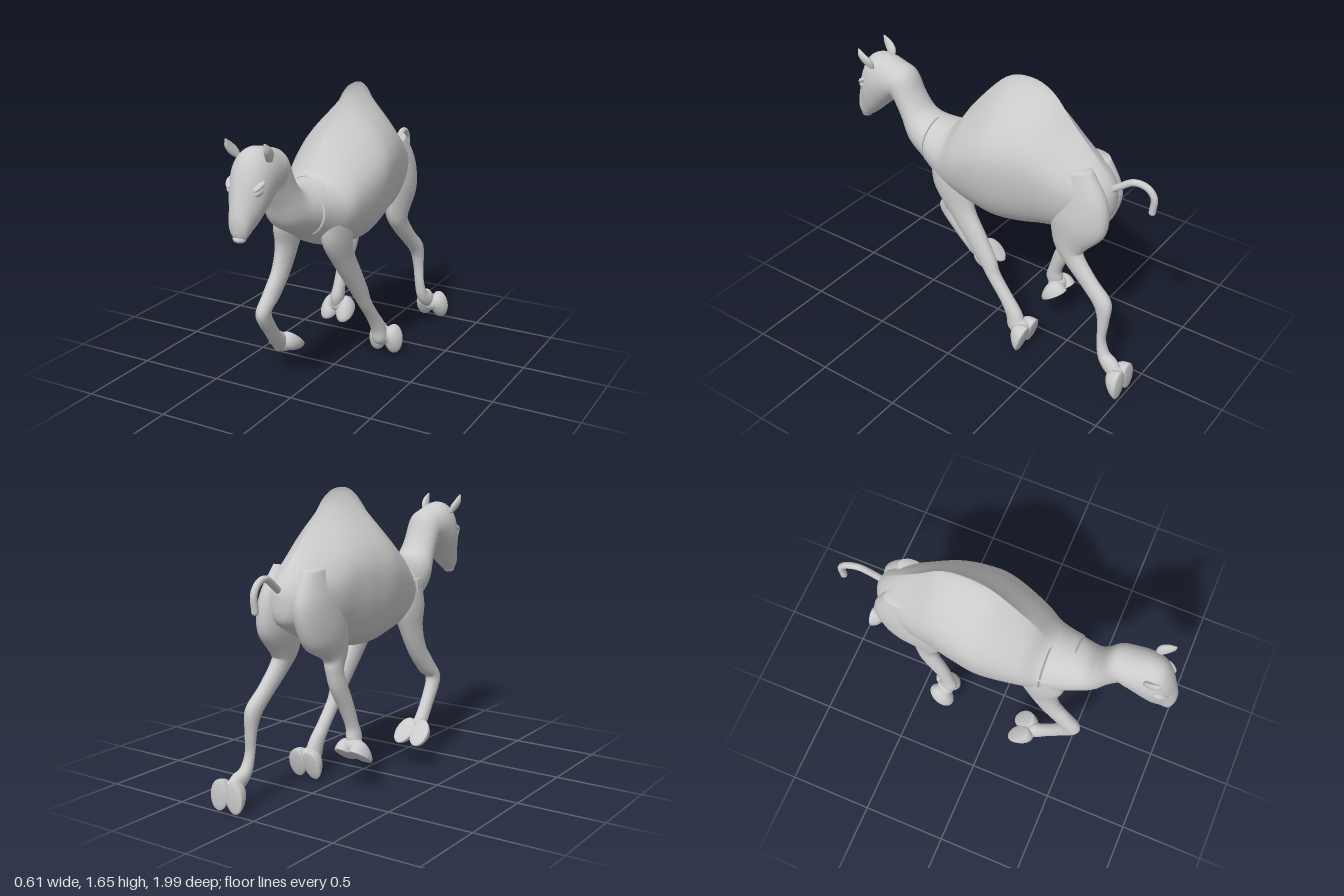
import * as THREE from 'three';

const material = new THREE.MeshStandardMaterial({ color: 0xcccccc });

function add(parent, name, geometry) {
  const mesh = new THREE.Mesh(geometry, material);
  mesh.name = name;
  parent.add(mesh);
  return mesh;
}

function ellipsoid(parent, name, size, position) {
  const mesh = add(parent, name, new THREE.SphereGeometry(1, 24, 16));
  mesh.scale.set(...size);
  mesh.position.set(...position);
  return mesh;
}

// Smooth interpolation between neighbouring cross-sections
function sectionAt(sections, t) {
  const last = sections.length - 1;
  const i = Math.min(Math.floor(t), last - 1), u = t - i;
  const [a, b, c, d] = [i - 1, i, i + 1, i + 2].map((k) => sections[Math.max(0, Math.min(last, k))]);
  return b.map((v, k) => 0.5 * (2 * v + (c[k] - a[k]) * u + (2 * a[k] - 5 * v + 4 * c[k] - d[k]) * u * u
    + (3 * v - a[k] - 3 * c[k] + d[k]) * u * u * u));
}

// Skin over cross-sections: [edge A z, y, edge B z, y, centre x, half width, taper towards A]
function loft(sections, steps = 6, sides = 32) {
  const rows = (sections.length - 1) * steps, pos = [], index = [];
  for (let r = 0; r <= rows; r++) {
    const [az, ay, bz, by, cx, w, taper] = sectionAt(sections, r / steps);
    for (let s = 0; s < sides; s++) {
      const angle = (s / sides) * Math.PI * 2, c = Math.cos(angle), n = Math.sin(angle);
      const k = 0.5 + 0.5 * n;
      const x = w * Math.sign(c) * Math.pow(Math.abs(c), n > 0 ? taper : 0.9);
      pos.push(cx + x, by + (ay - by) * k, bz + (az - bz) * k);
    }
  }
  for (let r = 0; r < rows; r++) {
    for (let s = 0; s < sides; s++) {
      const a = r * sides + s, b = r * sides + (s + 1) % sides;
      index.push(a, b, a + sides, b, b + sides, a + sides);
    }
  }
  // End caps
  [0, rows].forEach((r) => {
    const [az, ay, bz, by, cx] = sectionAt(sections, r / steps), centre = pos.length / 3;
    pos.push(cx, (ay + by) / 2, (az + bz) / 2);
    for (let s = 0; s < sides; s++) {
      const a = r * sides + s, b = r * sides + (s + 1) % sides;
      if (r === 0) index.push(centre, b, a);
      else index.push(centre, a, b);
    }
  });
  // Turn the faces outwards if the enclosed volume is negative
  let volume = 0;
  const v = (i) => new THREE.Vector3().fromArray(pos, i * 3);
  for (let i = 0; i < index.length; i += 3) volume += v(index[i]).dot(v(index[i + 1]).cross(v(index[i + 2])));
  if (volume < 0) index.reverse();
  const g = new THREE.BufferGeometry();
  g.setAttribute('position', new THREE.Float32BufferAttribute(pos, 3));
  g.setIndex(index);
  g.computeVertexNormals();
  return g;
}

// Rump, hump, belly and chest as [z, top, bottom, half width]; higher tops taper to a ridge
function makeBody() {
  const profile = [
    [-0.76, 1.15, 1.06, 0.02], [-0.74, 1.2, 1.0, 0.07], [-0.67, 1.29, 0.95, 0.135], [-0.5, 1.465, 0.865, 0.2],
    [-0.36, 1.62, 0.83, 0.235], [-0.22, 1.667, 0.795, 0.265], [-0.06, 1.62, 0.78, 0.28],
    [0.15, 1.4, 0.82, 0.238], [0.27, 1.24, 0.855, 0.195], [0.41, 1.225, 0.945, 0.155]];
  return loft(profile.map(([z, top, bottom, w]) =>
    [z, top, z, bottom, 0.012, w, 1 + 4.7 * Math.max(0, top - 1.2)]), 7, 48);
}

// Neck and head as [upper edge z, y, lower edge z, y, half width], from the chest to the lips
function makeNeckAndHead() {
  const profile = [
    [0.27, 1.235, 0.28, 0.86, 0.19], [0.4, 1.225, 0.42, 0.945, 0.16], [0.48, 1.25, 0.57, 1.03, 0.125],
    [0.54, 1.33, 0.645, 1.165, 0.104], [0.6, 1.45, 0.705, 1.265, 0.103], [0.69, 1.488, 0.72, 1.255, 0.11],
    [0.8, 1.515, 0.755, 1.22, 0.115], [0.88, 1.488, 0.8, 1.18, 0.113], [0.93, 1.41, 0.855, 1.13, 0.098],
    [0.965, 1.3, 0.9, 1.095, 0.072], [0.992, 1.19, 0.95, 1.063, 0.05], [0.99, 1.11, 0.975, 1.075, 0.015]];
  return loft(profile.map(([az, ay, bz, by, w]) => [az, ay, bz, by, 0, w, 1]), 6, 40);
}

// Limb along a path of [z, y, half depth]; sections stand square to the path, x runs from hip to foot
function makeLimb(path, hipX, footX) {
  const last = path.length - 1;
  return loft(path.map(([z, y, h], i) => {
    const a = path[Math.max(0, i - 1)], b = path[Math.min(last, i + 1)];
    const dz = b[0] - a[0], dy = b[1] - a[1], k = h / Math.hypot(dz, dy);
    const x = hipX + (footX - hipX) * (i / last);
    return [z - dy * k, y + dz * k, z + dy * k, y - dz * k, x, 0.022 + 0.35 * h, 1];
  }), 6, 24);
}

// Broad two-toed foot with a flat sole, toes towards +z
function makeFoot() {
  const foot = new THREE.Group();
  foot.name = 'foot';
  for (const side of [-1, 1]) {
    const g = new THREE.SphereGeometry(1, 24, 16), p = g.attributes.position;
    for (let i = 0; i < p.count; i++) {
      const x = p.getX(i), y = p.getY(i), z = p.getZ(i);
      p.setXYZ(i, x * 0.057, y * (y > 0 ? 0.075 * (1 - 0.4 * z) : 0.012), z * 0.088);
    }
    g.computeVertexNormals();
    const toe = add(foot, 'toe', g);
    toe.position.x = side * 0.05;
    toe.rotation.y = side * 0.12;
  }
  ellipsoid(foot, 'heelPad', [0.07, 0.05, 0.055], [0, 0.045, -0.02]);
  return foot;
}

function addLeg(model, name, hipX, footX, [soleY, soleZ, pitch], path) {
  const leg = new THREE.Group();
  leg.name = name;
  add(leg, 'limb', makeLimb(path, hipX, footX));
  const foot = makeFoot();
  foot.position.set(footX, soleY, soleZ);
  foot.rotation.x = pitch;
  leg.add(foot);
  model.add(leg);
}

export function createModel() {
  const model = new THREE.Group();
  model.name = 'humpedAnimal';
  add(model, 'body', makeBody());
  add(model, 'neckAndHead', makeNeckAndHead());

  // Four legs in mid-gallop
  addLeg(model, 'frontLeftLeg', 0.13, 0.18, [0.1, -0.335, 1.3], [
    [0.26, 1.12, 0.1], [0.22, 0.93, 0.13], [0.145, 0.755, 0.085], [0.045, 0.61, 0.068], [-0.04, 0.485, 0.055],
    [-0.085, 0.405, 0.042], [-0.17, 0.295, 0.04], [-0.23, 0.21, 0.05], [-0.255, 0.14, 0.058], [-0.29, 0.1, 0.04]]);
  addLeg(model, 'frontRightLeg', -0.12, -0.205, [0.225, 0.2, 2.36], [
    [0.28, 1.12, 0.1], [0.28, 0.96, 0.13], [0.295, 0.82, 0.09], [0.35, 0.68, 0.066], [0.435, 0.57, 0.058],
    [0.5, 0.485, 0.053], [0.42, 0.36, 0.042], [0.34, 0.27, 0.044], [0.29, 0.23, 0.055], [0.23, 0.207, 0.035]]);
  addLeg(model, 'hindLeftLeg', 0.1, 0.195, [0.1, -0.985, 1.57], [
    [-0.58, 1.28, 0.08], [-0.61, 1.12, 0.155], [-0.605, 0.97, 0.17], [-0.565, 0.81, 0.1], [-0.605, 0.73, 0.062],
    [-0.71, 0.62, 0.05], [-0.803, 0.525, 0.053], [-0.818, 0.41, 0.032], [-0.818, 0.3, 0.024],
    [-0.842, 0.21, 0.035], [-0.89, 0.165, 0.05], [-0.95, 0.12, 0.04]]);
  addLeg(model, 'hindRightLeg', -0.085, -0.155, [0.215, -0.335, 0.6], [
    [-0.58, 1.28, 0.08], [-0.57, 1.12, 0.175], [-0.51, 0.95, 0.18], [-0.43, 0.81, 0.1], [-0.445, 0.72, 0.063],
    [-0.425, 0.63, 0.058], [-0.362, 0.5, 0.048], [-0.318, 0.385, 0.04], [-0.308, 0.31, 0.052], [-0.32, 0.24, 0.038]]);

  // Curled tail with a rounded tip
  const tailPath = new THREE.CatmullRomCurve3([[0.02, 1.14, -0.7], [0.015, 1.2, -0.78], [0.005, 1.25, -0.86],
    [-0.005, 1.24, -0.93], [-0.01, 1.19, -0.972], [-0.012, 1.1, -0.968]].map((p) => new THREE.Vector3(...p)));
  add(model, 'tail', new THREE.TubeGeometry(tailPath, 40, 0.019, 14));
  ellipsoid(model, 'tailTip', [0.019, 0.019, 0.019], [-0.012, 1.1, -0.968]);

  for (const side of [-1, 1]) {
    // Pointed ears
    add(model, 'ear', loft([
      [0.83, 1.45, 0.8, 1.45, side * 0.09, 0.015, 1], [0.865, 1.475, 0.805, 1.495, side * 0.104, 0.018, 1],
      [0.892, 1.515, 0.84, 1.53, side * 0.113, 0.014, 1], [0.895, 1.557, 0.885, 1.557, side * 0.112, 0.004, 1]], 5, 14));
    // Eyes under a brow ridge
    ellipsoid(model, 'eye', [0.014, 0.02, 0.028], [side * 0.086, 1.315, 0.905]).rotation.set(0.5, side * -0.35, 0);
    ellipsoid(model, 'brow', [0.018, 0.014, 0.04], [side * 0.087, 1.345, 0.905]).rotation.set(0.6, side * -0.35, 0);
  }
  ellipsoid(model, 'lowerLip', [0.036, 0.022, 0.03], [0, 1.08, 0.958]);
  return model;
}
